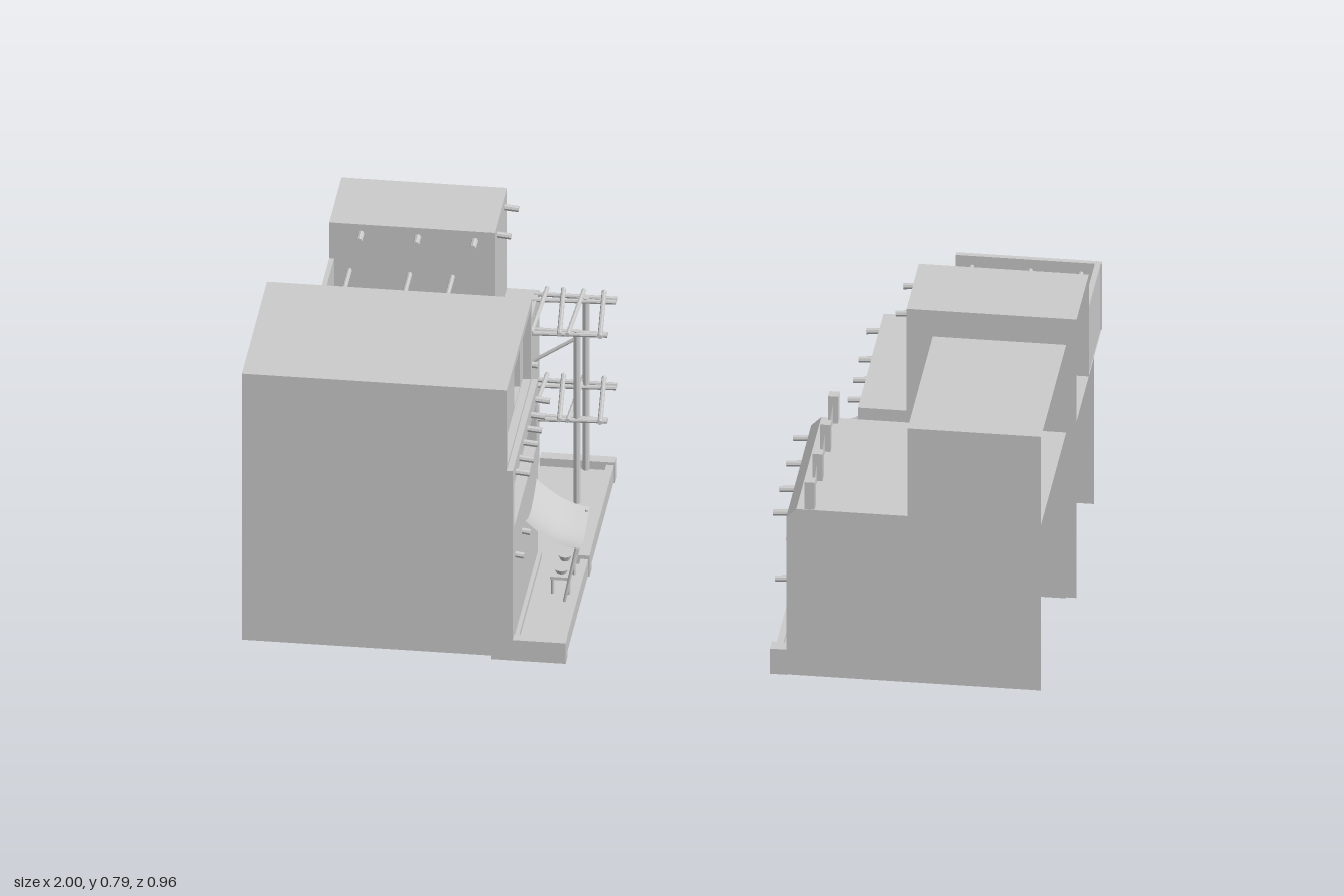
import * as THREE from 'three';

const solid = new THREE.MeshStandardMaterial({ color: 0xcccccc, flatShading: true });
const sheet = new THREE.MeshStandardMaterial({ color: 0xcccccc, side: THREE.DoubleSide });

export function createModel() {
  const model = new THREE.Group();
  let parent = model;

  const add = (name, geo, mat = solid) => {
    const m = new THREE.Mesh(geo, mat);
    m.name = name;
    parent.add(m);
    return m;
  };
  const group = (name, build) => {
    const outer = parent;
    parent = new THREE.Group();
    parent.name = name;
    outer.add(parent);
    build();
    parent = outer;
  };
  const poly = pts => new THREE.Shape(pts.map(p => new THREE.Vector2(p[0], p[1])));
  const rect = (a, b, c, d) => poly([[a, c], [b, c], [b, d], [a, d]]);
  const box = (name, x0, x1, y0, y1, z0, z1) => add(name,
    new THREE.BoxGeometry(x1 - x0, y1 - y0, z1 - z0).translate((x0 + x1) / 2, (y0 + y1) / 2, (z0 + z1) / 2));
  // Thin sheets: across the street (xy), along the street (zy) and level (xz)
  const crossWall = (name, shape, z) => add(name, new THREE.ShapeGeometry(shape).translate(0, 0, z), sheet);
  const streetWall = (name, shape, x) => add(name,
    new THREE.ShapeGeometry(shape, 12).rotateY(-Math.PI / 2).translate(x, 0, 0), sheet);
  const level = (name, x0, x1, z0, z1, y) => add(name,
    new THREE.PlaneGeometry(x1 - x0, z1 - z0).rotateX(-Math.PI / 2).translate((x0 + x1) / 2, y, (z0 + z1) / 2), sheet);
  const rod = (name, a, b, r = 0.008) => {
    const p = new THREE.Vector3(...a), q = new THREE.Vector3(...b), d = q.clone().sub(p);
    const m = add(name, new THREE.CylinderGeometry(r, r, d.length(), 8));
    m.position.copy(p).add(q).multiplyScalar(0.5);
    m.quaternion.setFromUnitVectors(new THREE.Vector3(0, 1, 0), d.normalize());
  };
  // Beam ends poking out of a street wall toward the street
  const stubs = (x, dir, y, zs, len = 0.035) =>
    zs.forEach(z => rod('beamEnd', [x - dir * 0.01, y, z], [x + dir * len, y - 0.004, z]));
  // Wall niche: back panel and four reveals
  const niche = (xFace, xBack, z0, z1, y0, y1) => {
    const a = Math.min(xFace, xBack), b = Math.max(xFace, xBack);
    streetWall('nicheBack', rect(z0, z1, y0, y1), xBack);
    [y0, y1].forEach(y => level('nicheReveal', a, b, z0, z1, y));
    [z0, z1].forEach(z => crossWall('nicheReveal', rect(a, b, y0, y1), z));
  };
  const wallWithHole = (name, x, z0, z1, y0, y1, h) => {
    const s = rect(z0, z1, y0, y1);
    s.holes.push(rect(...h));
    streetWall(name, s, x);
  };
  // Arcade panel, extruded toward +x from x
  const arcade = (x, depth, z0, z1, y0, y1, arches) => {
    const s = rect(z0, z1, y0, y1);
    arches.forEach(([c, r, base, spring]) => {
      const h = new THREE.Path();
      h.moveTo(c - r, base);
      h.lineTo(c + r, base);
      h.lineTo(c + r, spring);
      h.absarc(c, spring, r, 0, Math.PI, false);
      h.closePath();
      s.holes.push(h);
    });
    add('arcade', new THREE.ExtrudeGeometry(s, { depth, bevelEnabled: false, curveSegments: 10 })
      .rotateY(-Math.PI / 2).translate(x + depth, 0, 0), sheet);
  };
  // Cloth awning sagging between wall and poles
  const awning = (xw, xo, yw, yo, z0, z1) => {
    const g = new THREE.PlaneGeometry(1, 1, 8, 10), p = g.attributes.position;
    for (let i = 0; i < p.count; i++) {
      const u = p.getX(i) + 0.5, v = p.getY(i) + 0.5;
      const sag = 0.03 * Math.sin(Math.PI * v) + 0.015 * Math.sin(Math.PI * u);
      p.setXYZ(i, xw + (xo - xw) * u, yw + (yo - yw) * u - sag, z0 + (z1 - z0) * v);
    }
    g.computeVertexNormals();
    add('awningCloth', g, sheet);
    const back = Math.sign(xw - xo), zm = (z0 + z1) / 2;
    [z0 + 0.012, z1 - 0.012].forEach(z =>
      rod('awningPole', [xo + back * 0.005, yo, z], [xo + back * 0.035, 0.04, z], 0.004));
    // Low market stand below
    const x = xo + back * 0.05;
    box('standTop', x - 0.025, x + 0.025, 0.078, 0.086, zm - 0.06, zm + 0.06);
    for (const dx of [-0.02, 0.02]) for (const dz of [-0.05, 0.05])
      rod('standLeg', [x + dx, 0.08, zm + dz], [x + dx, 0.035, zm + dz], 0.004);
    [-0.035, 0.035].forEach(dz => add('bowl',
      new THREE.CylinderGeometry(0.017, 0.011, 0.014, 10).translate(x, 0.093, zm + dz)));
  };

  group('leftFrontHouse', () => {
    const outline = [[-1, 0.01], [-0.33, 0.01], [-0.33, 0.53], [-0.345, 0.53], [-0.345, 0.755], [-1, 0.755]];
    [0.475, 0.005].forEach(z => crossWall('endWall', poly(outline), z));
    level('roof', -1, -0.345, 0.005, 0.475, 0.755);
    level('upperFloor', -1, -0.33, 0.005, 0.475, 0.53);
    wallWithHole('shopWall', -0.33, 0.005, 0.475, 0.01, 0.53, [0.03, 0.45, 0.36, 0.48]);
    niche(-0.33, -0.39, 0.03, 0.45, 0.36, 0.48);
    wallWithHole('upperWall', -0.345, 0.005, 0.475, 0.53, 0.755, [0.025, 0.455, 0.54, 0.735]);
    niche(-0.345, -0.4, 0.025, 0.455, 0.54, 0.735);
    arcade(-0.38, 0.015, 0.025, 0.455, 0.54, 0.735, [[0.36, 0.055, 0.545, 0.64], [0.13, 0.055, 0.545, 0.64]]);
    stubs(-0.33, 1, 0.5, [0.05, 0.13, 0.2, 0.27, 0.35, 0.42]);
    stubs(-0.33, 1, 0.27, [0.3, 0.42], 0.02);
    awning(-0.335, -0.2, 0.27, 0.195, 0.03, 0.245);
  });

  group('leftBackHouse', () => {
    const outline = [[-0.88, 0.01], [-0.39, 0.01], [-0.39, 0.51], [-0.47, 0.51], [-0.47, 0.79], [-0.88, 0.79]];
    crossWall('backWall', poly(outline), -0.48);
    streetWall('streetWall', rect(-0.48, 0.005, 0.01, 0.51), -0.39);
    level('terrace', -0.88, -0.39, -0.48, 0.005, 0.51);
    crossWall('upperFront', rect(-0.88, -0.47, 0.51, 0.79), -0.25);
    streetWall('upperStreetWall', rect(-0.48, -0.25, 0.51, 0.79), -0.47);
    level('upperRoof', -0.88, -0.47, -0.48, -0.25, 0.79);
    box('outerParapet', -0.88, -0.868, 0.51, 0.69, -0.25, -0.005);
    box('frontParapet', -0.88, -0.53, 0.51, 0.69, -0.017, -0.005);
    [-0.83, -0.68, -0.575].forEach(x => rod('terraceBeam', [x, 0.66, -0.25], [x, 0.66, -0.01], 0.006));
    [-0.8, -0.66, -0.52].forEach(x => rod('beamEnd', [x, 0.765, -0.26], [x, 0.765, -0.21]));
    stubs(-0.47, 1, 0.762, [-0.295, -0.435]);
    stubs(-0.39, 1, 0.47, [-0.06, -0.18]);
  });

  group('scaffold', () => {
    for (const z of [-0.27, -0.44]) rod('post', [-0.27, 0.04, z], [-0.27, 0.52, z], 0.009);
    for (const y of [0.27, 0.51]) {
      [-0.26, -0.28, -0.43, -0.46].forEach((z, i) =>
        rod('crossPole', [-0.4, y, z], [-0.195, y + 0.004, z + (i % 2 ? 0.008 : -0.006)], 0.006));
      [-0.37, -0.33, -0.28, -0.23].forEach((x, i) =>
        rod('plankPole', [x, y + 0.01, -0.475], [x + (i % 2 ? 0.02 : -0.01), y + 0.01, -0.245], 0.006));
    }
    rod('brace', [-0.39, 0.42, -0.27], [-0.27, 0.5, -0.27], 0.005);
  });

  group('rightFrontHouse', () => {
    const outline = [[0.345, 0.01], [0.975, 0.01], [0.975, 0.72], [0.645, 0.72], [0.645, 0.475], [0.37, 0.475], [0.345, 0.45]];
    [0.475, 0.005].forEach(z => crossWall('endWall', poly(outline), z));
    streetWall('streetWall', rect(0.005, 0.475, 0.01, 0.45), 0.345);
    const bevel = add('bevel', new THREE.PlaneGeometry(0.0354, 0.47).rotateX(-Math.PI / 2), sheet);
    bevel.rotation.z = Math.PI / 4;
    bevel.position.set(0.3575, 0.4625, 0.24);
    level('terrace', 0.37, 0.975, 0.005, 0.475, 0.475);
    level('roof', 0.645, 0.975, 0.005, 0.475, 0.72);
    wallWithHole('upperWall', 0.645, 0.005, 0.475, 0.475, 0.72, [0.02, 0.46, 0.476, 0.7]);
    niche(0.645, 0.695, 0.02, 0.46, 0.476, 0.7);
    arcade(0.665, 0.015, 0.02, 0.46, 0.476, 0.7,
      [0.095, 0.24, 0.385].map(z => [z, 0.052, 0.48, 0.605]));
    // Broken railing between posts
    const posts = [0.02, 0.165, 0.315, 0.46];
    posts.forEach((z, i) => {
      box('railPost', 0.39, 0.415, 0.475, 0.55, z - 0.013, z + 0.013);
      if (i < 3) streetWall('railPanel', poly([[z, 0.475], [posts[i + 1], 0.475], [posts[i + 1], 0.525],
        [z + 0.09, 0.505], [z + 0.05, 0.515], [z, 0.53]]), 0.402);
    });
    stubs(0.345, -1, 0.44, [0.05, 0.18, 0.31, 0.43], 0.038);
    stubs(0.345, -1, 0.265, [0.03, 0.24, 0.45], 0.03);
  });

  group('rightBackHouse', () => {
    const lower = rect(0.46, 0.98, 0.01, 0.505);
    crossWall('backWall', lower, -0.48);
    crossWall('frontWall', poly([[0.46, 0.01], [1, 0.01], [1, 0.79], [0.58, 0.79], [0.58, 0.505], [0.46, 0.505]]), 0);
    streetWall('streetWall', rect(-0.48, 0, 0.01, 0.505), 0.46);
    level('terrace', 0.46, 1, -0.48, 0, 0.505);
    crossWall('upperBack', rect(0.58, 1, 0.505, 0.79), -0.23);
    streetWall('upperStreetWall', rect(-0.23, 0, 0.505, 0.79), 0.58);
    level('upperRoof', 0.58, 1, -0.23, 0, 0.79);
    box('backParapet', 0.64, 1, 0.505, 0.69, -0.48, -0.466);
    box('outerParapet', 0.984, 0.998, 0.505, 0.69, -0.47, -0.23);
    [0.68, 0.825, 0.95].forEach(x => rod('terraceBeam', [x, 0.66, -0.23], [x, 0.66, -0.47], 0.006));
    stubs(0.58, -1, 0.762, [-0.03, -0.17], 0.03);
    stubs(0.46, -1, 0.485, [-0.08, -0.18, -0.285, -0.43]);
    awning(0.465, 0.35, 0.285, 0.21, -0.225, -0.005);
    awning(0.465, 0.35, 0.285, 0.21, -0.455, -0.235);
  });

  // Raised walks, hollow below, with curbs and corner blocks
  group('leftWalk', () => {
    level('walkFloor', -0.39, -0.205, -0.48, 0.475, 0.035);
    box('curb', -0.222, -0.203, 0.005, 0.05, -0.48, 0.475);
    box('innerCurb', -0.335, -0.32, 0.005, 0.05, 0.005, 0.475);
    [0.46, -0.465].forEach(z => box('endCurb', -0.385, -0.2, 0, 0.057, z - 0.015, z + 0.015));
    box('cornerBlock', -0.24, -0.2, 0, 0.06, -0.01, 0.03);
  });
  group('rightWalk', () => {
    level('walkFloor', 0.315, 0.46, -0.48, 0.005, 0.04);
    level('frontWalkFloor', 0.315, 0.345, 0.005, 0.475, 0.05);
    box('curb', 0.313, 0.33, 0.01, 0.062, -0.48, 0.475);
    box('endCurb', 0.308, 0.46, 0.01, 0.07, -0.48, -0.455);
    [0.01, 0.46].forEach(z => box('cornerBlock', 0.305, 0.347, 0.01, 0.08, z - 0.02, z + 0.017));
  });

  return model;
}
